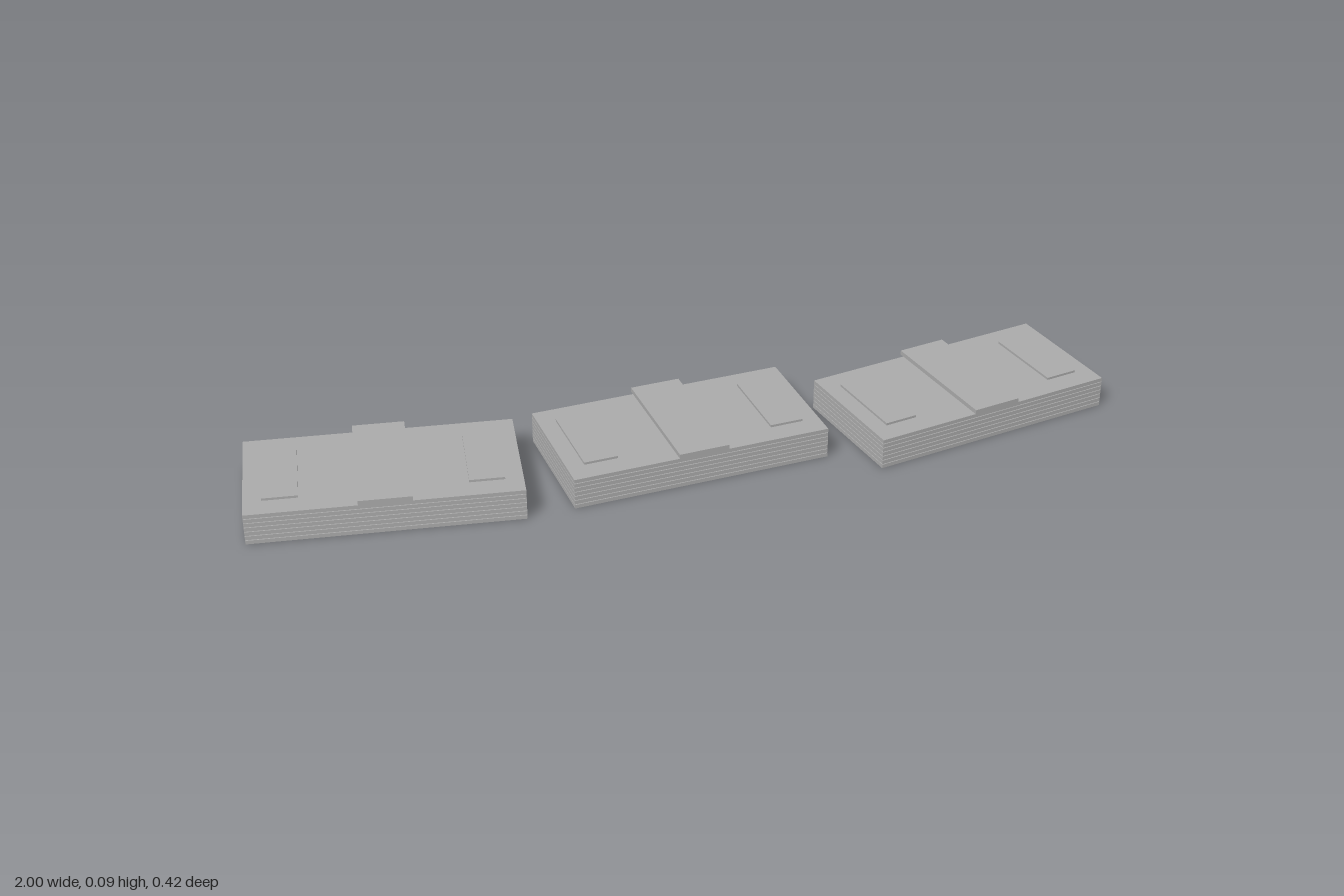
import * as THREE from 'three';

const paper = new THREE.MeshStandardMaterial({ color: 0xaaaaaa });
paper.name = 'greyPaper';

const LENGTH = 0.603, WIDTH = 0.304, LAYERS = 7, PITCH = 0.0107, SHEET = 0.009;
const TOP = (LAYERS - 1) * PITCH + SHEET;

// Box whose underside sits at height y
function slab(name, w, h, d, x, y) {
  const mesh = new THREE.Mesh(new THREE.BoxGeometry(w, h, d), paper);
  mesh.name = name;
  mesh.position.set(x, y + h / 2, 0);
  return mesh;
}

function createStack(name, x, z, angle) {
  const stack = new THREE.Group();
  stack.name = name;
  // Layered sheets with thin gaps between
  for (let i = 0; i < LAYERS; i++) {
    stack.add(slab('sheet' + (i + 1), LENGTH, SHEET, WIDTH, 0, i * PITCH));
  }
  // Raised panels toward both ends
  for (const side of [-1, 1]) {
    stack.add(slab(side < 0 ? 'rightPanel' : 'leftPanel', 0.078, 0.0055, 0.2, side * 0.222, TOP));
  }
  // Paper band across the middle
  stack.add(slab('band', 0.117, 0.0105, 0.316, 0, 0.077));
  stack.position.set(x, 0, z);
  stack.rotation.y = angle;
  return stack;
}

export function createModel() {
  const model = new THREE.Group();
  model.name = 'paperStacks';
  model.add(
    createStack('rightStack', -0.683, -0.003, -0.118),
    createStack('middleStack', -0.005, -0.003, 0.083),
    createStack('leftStack', 0.675, -0.003, 0.2)
  );
  return model;
}
